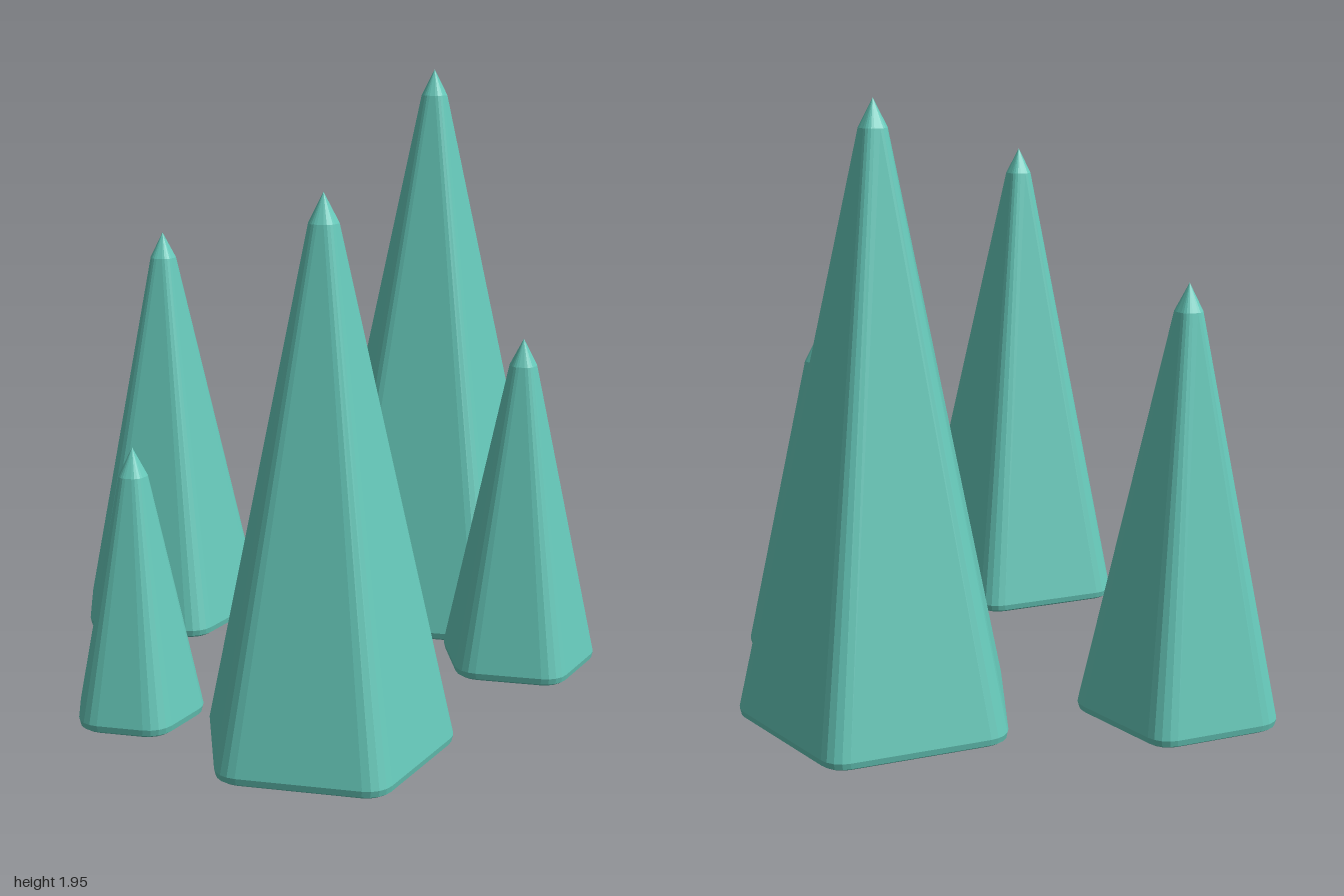
import * as THREE from 'three';

const SIDES = 5, ARC = 4; // arc segments per rounded corner

// Pentagon with rounded corners, one corner pointing to +z
function ring(R, r, y) {
  const pts = [];
  const c = R - r / Math.cos(Math.PI / SIDES);
  for (let k = 0; k < SIDES; k++) {
    const a = (k * 2 * Math.PI) / SIDES;
    for (let j = 0; j <= ARC; j++) {
      const b = a + (j / ARC - 0.5) * (2 * Math.PI / SIDES);
      pts.push([c * Math.sin(a) + r * Math.sin(b), y, c * Math.cos(a) + r * Math.cos(b)]);
    }
  }
  return pts;
}

// Tapered five-sided spike: bevelled foot, long faces, short blunt tip
function spikeGeometry(R, h) {
  const rings = [
    ring(R - 0.02, 0.07, 0),
    ring(R - 0.005, 0.08, 0.008),
    ring(R, 0.08, 0.028),
    ring(0.053, 0.03, h - 0.088),
  ];
  const n = rings[0].length;
  const pos = [];
  const tri = (a, b, c) => pos.push(...a, ...b, ...c);
  for (let i = 0; i < n; i++) {
    const j = (i + 1) % n;
    tri([0, 0, 0], rings[0][j], rings[0][i]);
    for (let k = 0; k < rings.length - 1; k++) {
      const lo = rings[k], hi = rings[k + 1];
      tri(lo[i], lo[j], hi[j]);
      tri(lo[i], hi[j], hi[i]);
    }
    const top = rings[rings.length - 1];
    tri(top[i], top[j], [0, h, 0]);
  }
  const g = new THREE.BufferGeometry();
  g.setAttribute('position', new THREE.Float32BufferAttribute(pos, 3));
  g.computeVertexNormals();
  return g;
}

export function createModel() {
  const group = new THREE.Group();
  group.name = 'crystalSpikes';
  const material = new THREE.MeshStandardMaterial({ color: 0x66c9ba, flatShading: true });

  // name, x, z, corner radius, height
  const spikes = [
    ['tallSpike', -0.084, -0.613, 0.479, 1.95],
    ['leftSpike', 0.6, 0.51, 0.414, 1.67],
    ['rightSpike', -0.664, 0.143, 0.35, 1.39],
    ['backLeftSpike', 0.515, -0.44, 0.283, 1.11],
    ['smallFrontSpike', 0.038, 0.788, 0.224, 0.865],
  ];
  for (const [name, x, z, R, h] of spikes) {
    const mesh = new THREE.Mesh(spikeGeometry(R, h), material);
    mesh.name = name;
    mesh.position.set(x, 0, z);
    group.add(mesh);
  }
  return group;
}
